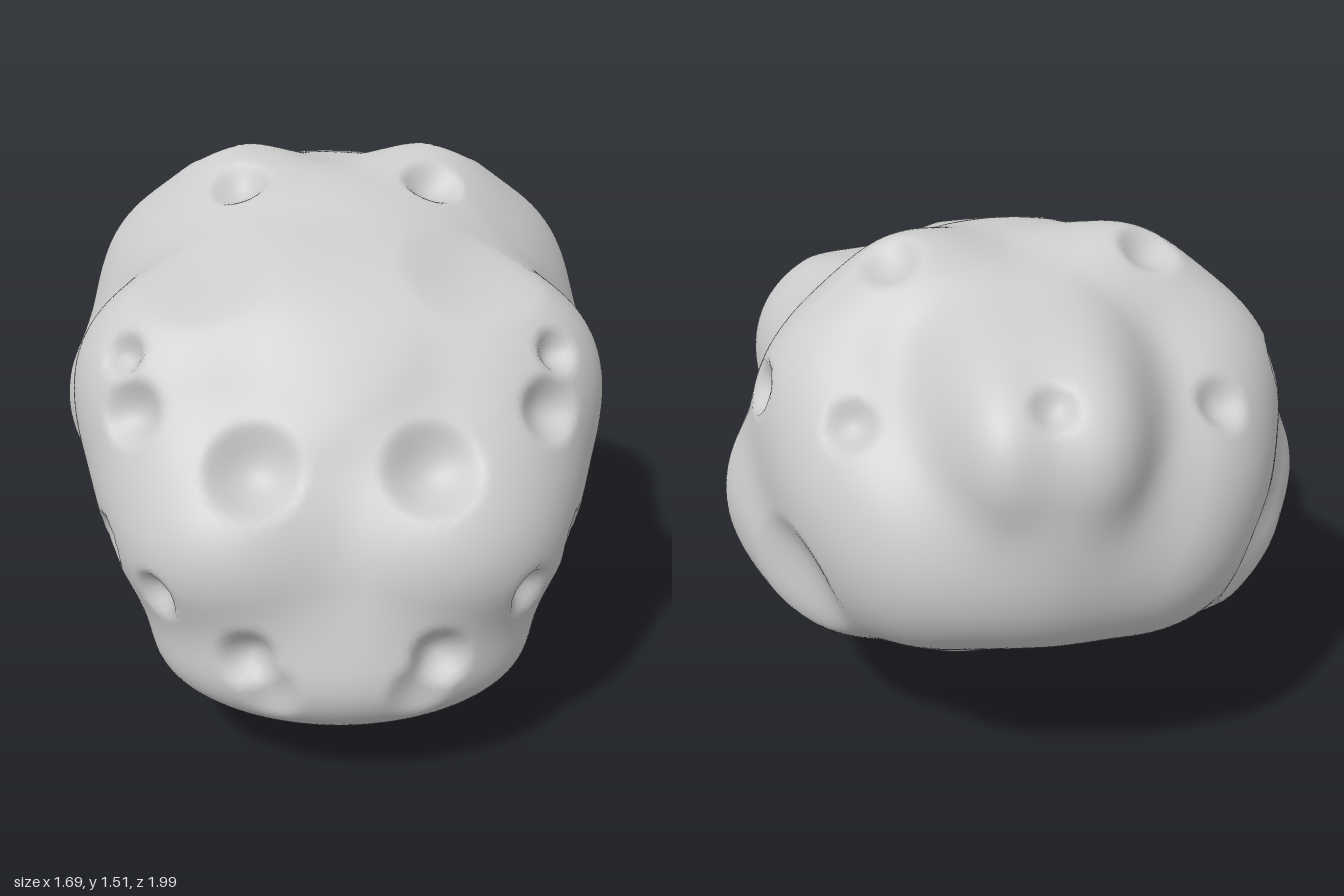
import * as THREE from 'three';
import { mergeVertices } from 'three/addons/utils/BufferGeometryUtils.js';

const V = (x, y, z) => new THREE.Vector3(x, y, z);
const CENTRE = V(0, 0.75, 0);
const BLEND = 0.15;

// Rounded lobes of the rock: centre, radii. Those off the middle are mirrored.
const lobes = {
  core: [V(0, 0.78, 0), V(0.6, 0.55, 0.65)],
  crown: [V(0, 1.0, -0.1), V(0.67, 0.47, 0.5)],
  crownBump: [V(0.28, 1.3, -0.25), V(0.21, 0.2, 0.19)],
  forehead: [V(0, 0.75, 0.25), V(0.62, 0.52, 0.57)],
  brow: [V(0.2, 1.0, 0.29), V(0.41, 0.32, 0.31)],
  cheek: [V(0.46, 0.97, 0.33), V(0.28, 0.27, 0.28)],
  jowl: [V(0.4, 0.78, 0.43), V(0.28, 0.3, 0.3)],
  muzzle: [V(0, 0.5, 0.53), V(0.51, 0.33, 0.41)],
  muzzleSide: [V(0.28, 0.65, 0.58), V(0.33, 0.29, 0.37)],
  jaw: [V(0, 0.33, 0.65), V(0.5, 0.2, 0.34)],
  foot: [V(0.27, 0.3, 0.2), V(0.35, 0.3, 0.3)],
  heel: [V(0.2, 0.36, 0), V(0.32, 0.27, 0.24)],
  belly: [V(0.17, 0.46, -0.15), V(0.31, 0.29, 0.32)],
  waist: [V(0.35, 0.85, 0.1), V(0.31, 0.34, 0.25)],
  hip: [V(0.5, 0.72, -0.18), V(0.345, 0.35, 0.31)],
  haunch: [V(0.42, 0.61, -0.41), V(0.29, 0.22, 0.26)],
  shoulder: [V(0.45, 1.05, -0.32), V(0.28, 0.3, 0.27)],
  flank: [V(0.38, 0.9, -0.51), V(0.28, 0.3, 0.28)],
  rearSide: [V(0.3, 0.8, -0.62), V(0.24, 0.29, 0.27)],
  ridgeFront: [V(0.09, 1.12, -0.45), V(0.21, 0.28, 0.3)],
  ridge: [V(0.11, 1.1, -0.68), V(0.17, 0.25, 0.31)],
  spine: [V(0, 0.92, -0.62), V(0.22, 0.3, 0.32)],
  rump: [V(0, 0.76, -0.6), V(0.48, 0.29, 0.35)],
};

// Craters and dents: position, radius, depth. Those off the middle are mirrored.
const craters = [
  [V(0.24, 0.91, 0.84), 0.14, 0.07],
  [V(0.57, 1.12, 0.53), 0.07, 0.05],
  [V(0.54, 0.99, 0.62), 0.1, 0.055],
  [V(0.51, 0.56, 0.87), 0.075, 0.05],
  [V(0.62, 0.62, 0.62), 0.085, 0.05],
  [V(0.25, 0.43, 0.94), 0.09, 0.06],
  [V(0.19, 0.34, 0.96), 0.09, 0.03],
  [V(0.55, 0.33, 0.42), 0.12, 0.07],
  [V(0.66, 0.68, 0.19), 0.08, 0.05],
  [V(0.7, 1.12, -0.35), 0.08, 0.05],
  [V(0.28, 1.43, -0.04), 0.1, 0.055],
  [V(0.35, 1.46, -0.32), 0.1, 0.05],
  [V(0.46, 1.12, -0.62), 0.085, 0.045],
  [V(0, 1.27, -0.9), 0.07, 0.035],
  [V(0.36, 0.33, -0.35), 0.11, 0.055],
  [V(0.33, 1.25, 0.33), 0.22, 0.035],
  [V(0.62, 0.65, -0.54), 0.2, 0.05],
];

const mirrored = (list) => list.flatMap(([p, ...rest]) =>
  p.x ? [[p, ...rest], [V(-p.x, p.y, p.z), ...rest]] : [[p, ...rest]]);

const allLobes = mirrored(Object.values(lobes));

// Smoothly blended distance to the lobes
function field(x, y, z) {
  let d = 10;
  for (const [c, r] of allLobes) {
    const ax = (x - c.x) / r.x, ay = (y - c.y) / r.y, az = (z - c.z) / r.z;
    const k0 = Math.hypot(ax, ay, az);
    const k1 = Math.hypot(ax / r.x, ay / r.y, az / r.z) + 1e-9;
    const e = k0 * (k0 - 1) / k1;
    const h = Math.max(BLEND - Math.abs(d - e), 0) / BLEND;
    d = Math.min(d, e) - h * h * BLEND / 4;
  }
  return d;
}

// Walk inward along a direction until the surface is met
function surfacePoint(dir) {
  let t = 1.5;
  for (let i = 0; i < 60; i++) {
    const d = field(CENTRE.x + dir.x * t, CENTRE.y + dir.y * t, CENTRE.z + dir.z * t);
    t -= d * 0.8;
    if (Math.abs(d) < 0.0004) break;
  }
  return CENTRE.clone().addScaledVector(dir, t);
}

function surfaceNormal(p) {
  const e = 0.03;
  return V(
    field(p.x + e, p.y, p.z) - field(p.x - e, p.y, p.z),
    field(p.x, p.y + e, p.z) - field(p.x, p.y - e, p.z),
    field(p.x, p.y, p.z + e) - field(p.x, p.y, p.z - e)
  ).normalize();
}

export function createModel() {
  // Fine sphere, welded so that its normals are smooth
  let geometry = new THREE.IcosahedronGeometry(1, 56);
  geometry.deleteAttribute('normal');
  geometry.deleteAttribute('uv');
  geometry = mergeVertices(geometry);

  const pits = mirrored(craters).map(([p, radius, depth]) => {
    const at = surfacePoint(p.clone().sub(CENTRE).normalize());
    return { at, radius, depth, normal: surfaceNormal(at) };
  });

  // Mould the sphere to the lobes, then press in the craters
  const pos = geometry.attributes.position;
  const dir = V(0, 0, 0);
  for (let i = 0; i < pos.count; i++) {
    dir.fromBufferAttribute(pos, i).normalize();
    const base = surfacePoint(dir);
    const p = base.clone();
    for (const { at, radius, depth, normal } of pits) {
      const q = base.distanceTo(at) / radius;
      if (q < 1) p.addScaledVector(normal, -depth * (1 - q * q) ** 1.5);
    }
    pos.setXYZ(i, p.x, p.y, p.z);
  }

  // Stand it on the ground
  geometry.computeBoundingBox();
  const { min, max } = geometry.boundingBox;
  geometry.translate(0, -min.y, -(min.z + max.z) / 2);
  geometry.computeVertexNormals();

  const rock = new THREE.Mesh(geometry, new THREE.MeshStandardMaterial({ color: 0xcccccc }));
  rock.name = 'crateredRock';
  const group = new THREE.Group();
  group.name = 'asteroid';
  group.add(rock);
  return group;
}
